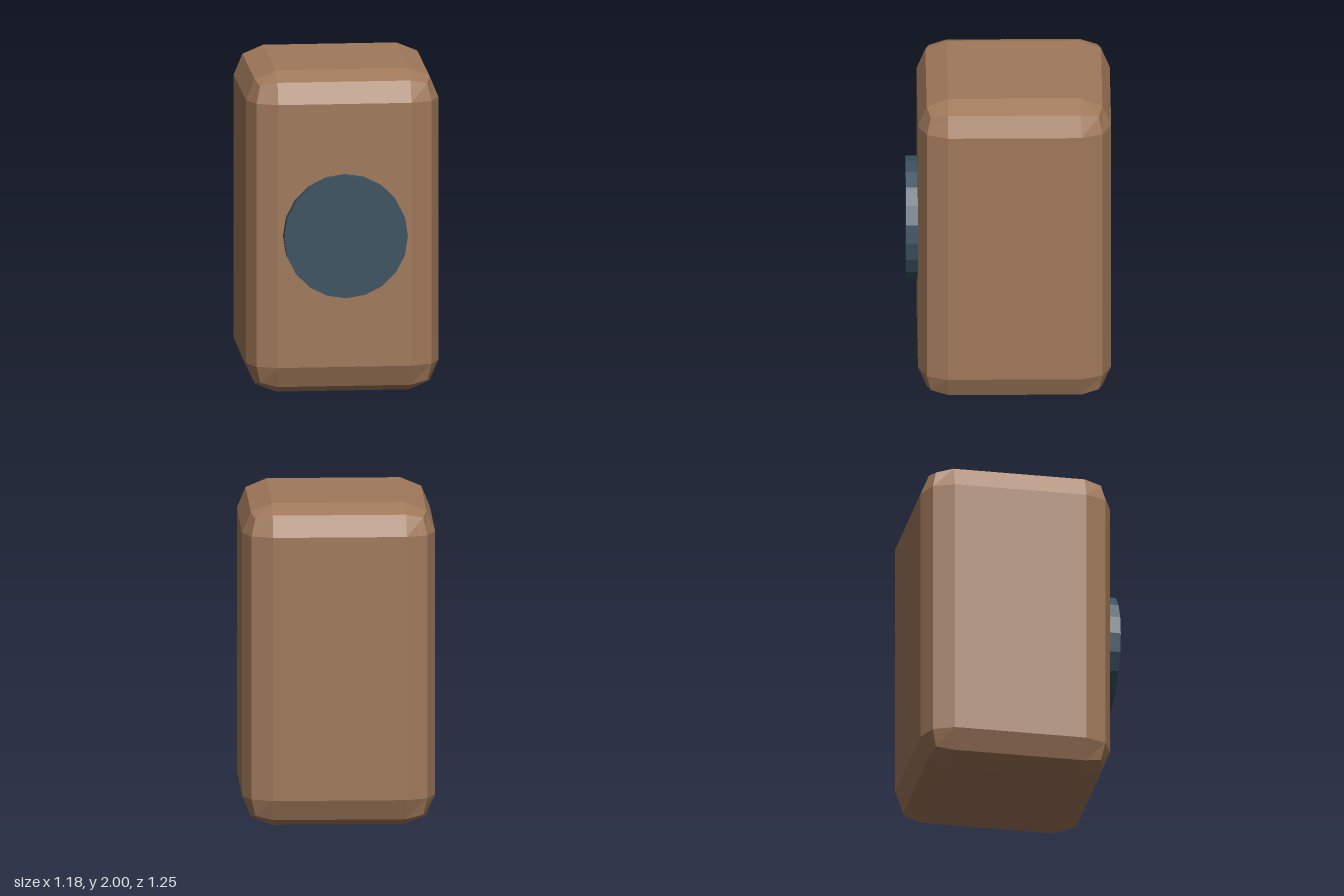
import * as THREE from 'three';
import { RoundedBoxGeometry } from 'three/addons/geometries/RoundedBoxGeometry.js';

export function createModel() {
  const model = new THREE.Group();
  model.name = 'speakerBox';

  const wood = new THREE.MeshStandardMaterial({ color: 0xa0785a, flatShading: true });
  const coneBlue = new THREE.MeshStandardMaterial({ color: 0x3a5060, flatShading: true });

  // Cabinet with bevelled edges
  const cabinet = new THREE.Mesh(new RoundedBoxGeometry(1.18, 2, 1.18, 1, 0.182), wood);
  cabinet.name = 'cabinet';
  cabinet.position.set(0, 1, -0.037);
  model.add(cabinet);

  // Round disc standing out of the front face
  const disc = new THREE.Mesh(new THREE.CylinderGeometry(0.38, 0.38, 0.15, 20), coneBlue);
  disc.name = 'frontDisc';
  disc.rotation.x = Math.PI / 2;
  disc.position.set(0, 1.003, 0.55);
  model.add(disc);

  return model;
}
